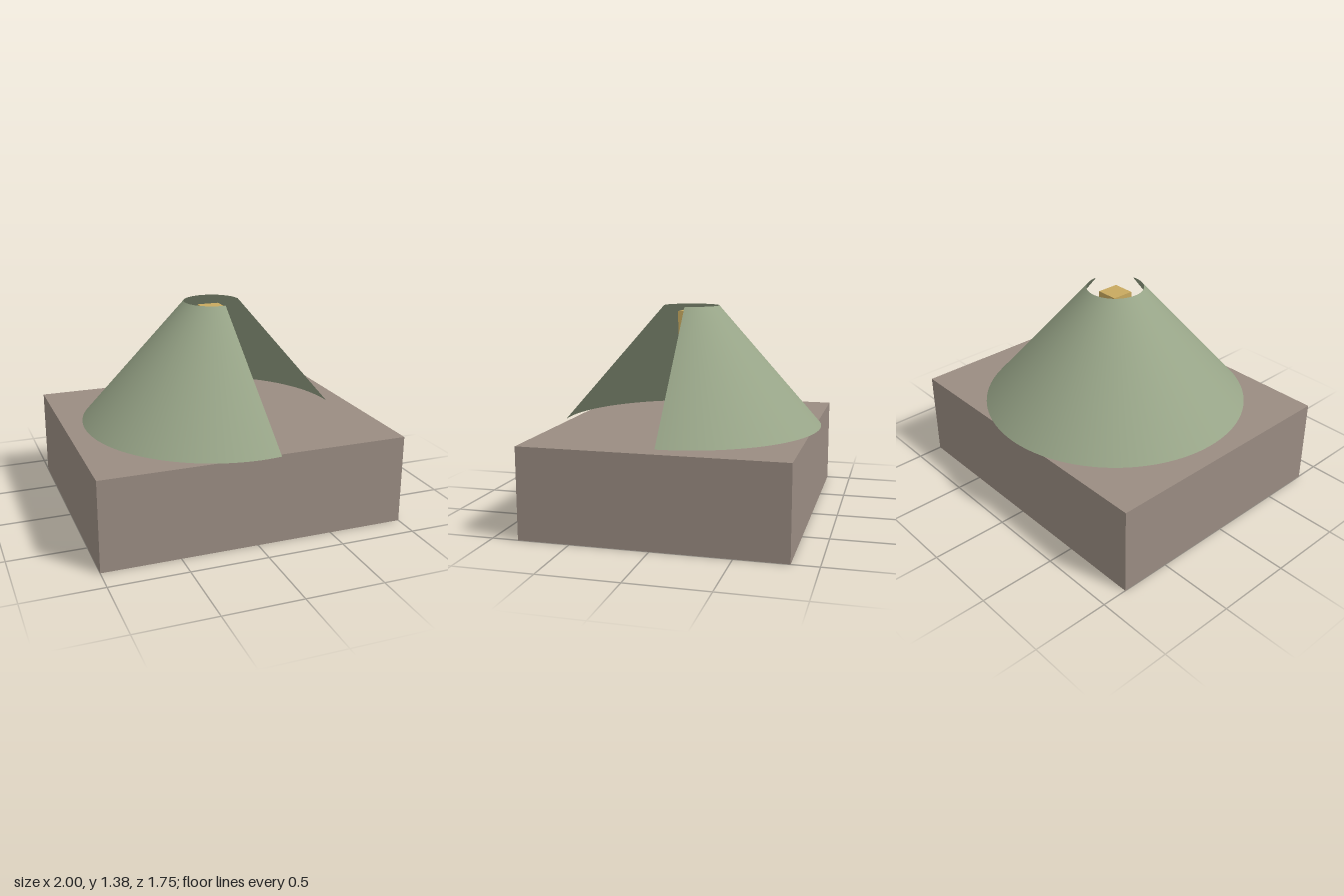
import * as THREE from 'three';

export function createModel() {
  const group = new THREE.Group();
  const material = (name, color, side = THREE.FrontSide) => {
    const m = new THREE.MeshStandardMaterial({ color, side });
    m.name = name;
    return m;
  };
  const add = (name, geometry, mat, y) => {
    const mesh = new THREE.Mesh(geometry, mat);
    mesh.name = name;
    mesh.position.y = y;
    group.add(mesh);
  };

  const baseTop = 0.585, shellTop = 1.376, postTop = 1.34;

  // Rectangular plinth
  add('base', new THREE.BoxGeometry(2, baseTop, 1.665),
    material('warm grey', 0x9a8c82), baseTop / 2);

  // Square post standing inside the shell
  add('post', new THREE.BoxGeometry(0.146, postTop - baseTop, 0.146),
    material('ochre', 0xc8a95f), (baseTop + postTop) / 2);

  // Thin open cone, with a gap between the left side and the front
  const gapEdge = 0.152;
  add('coneShell', new THREE.CylinderGeometry(0.185, 0.874, shellTop - baseTop, 96, 1, true,
    Math.PI / 2, Math.PI * 1.5 + gapEdge),
    material('sage green', 0x98a588, THREE.DoubleSide), (baseTop + shellTop) / 2);

  return group;
}
